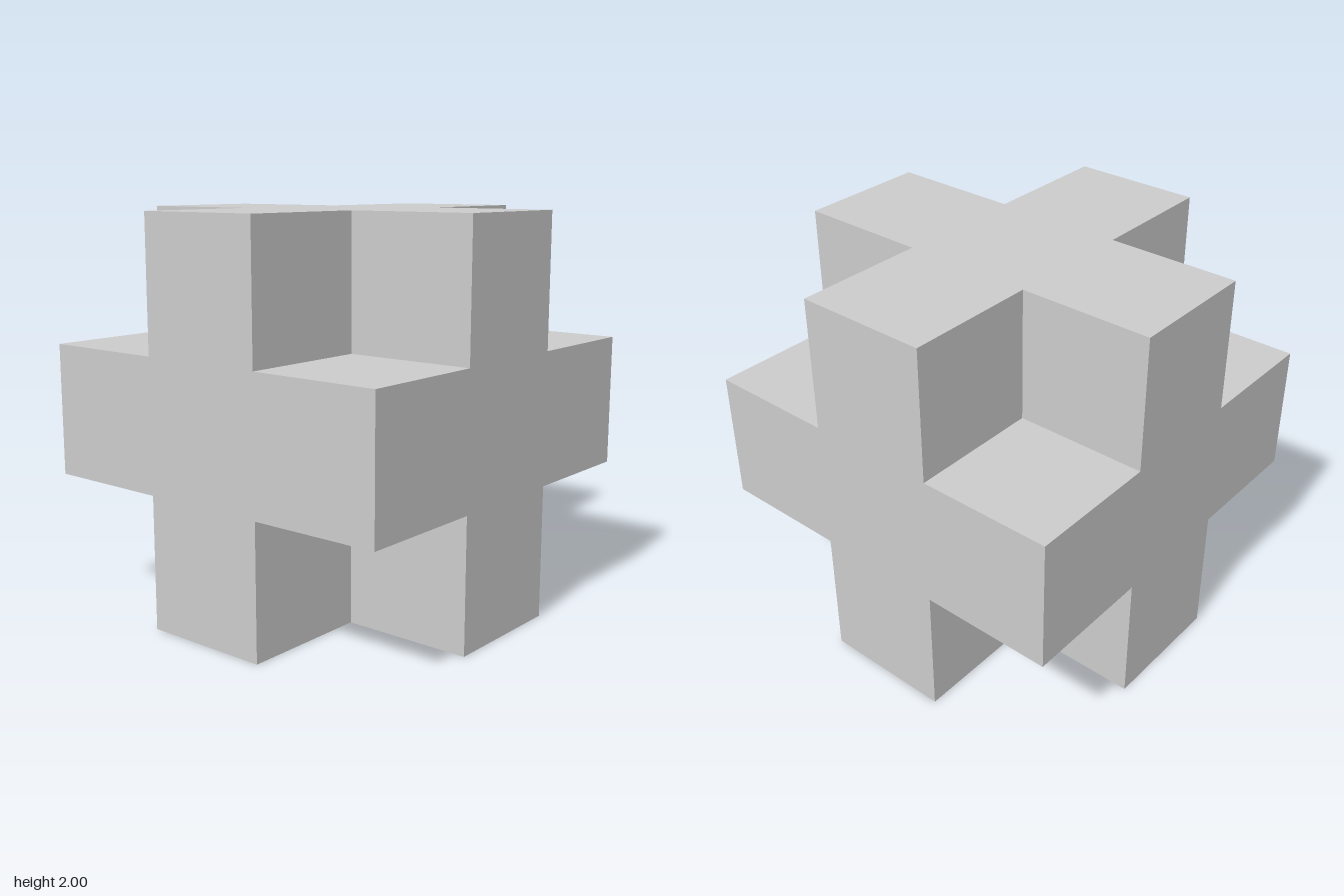
import * as THREE from 'three';
import { mergeGeometries } from 'three/addons/utils/BufferGeometryUtils.js';

const H = 1;       // half the cube's edge
const A = 1 / 3;   // half the width of each cross arm
const N = H - A;   // edge of each corner notch

// One side facing +z: an outer cross and the floors of its four corner notches
function sideGeometry() {
  const cross = new THREE.Shape([
    [A, -H], [A, -A], [H, -A], [H, A], [A, A], [A, H],
    [-A, H], [-A, A], [-H, A], [-H, -A], [-A, -A], [-A, -H],
  ].map(([x, y]) => new THREE.Vector2(x, y)));
  const parts = [new THREE.ShapeGeometry(cross).translate(0, 0, H)];
  const mid = (A + H) / 2;
  for (const sx of [-1, 1]) {
    for (const sy of [-1, 1]) {
      parts.push(new THREE.PlaneGeometry(N, N).translate(sx * mid, sy * mid, A));
    }
  }
  return mergeGeometries(parts);
}

export function createModel() {
  const group = new THREE.Group();
  group.name = 'notchedCube';

  // Six identical sides close into one solid with all eight corners cut out
  const side = sideGeometry();
  const sides = [];
  for (let i = 0; i < 4; i++) sides.push(side.clone().rotateY(i * Math.PI / 2));
  for (const s of [-1, 1]) sides.push(side.clone().rotateX(s * Math.PI / 2));

  const body = new THREE.Mesh(
    mergeGeometries(sides).translate(0, H, 0),
    new THREE.MeshStandardMaterial({ color: 0xcccccc, flatShading: true }),
  );
  body.name = 'notchedCubeBody';
  group.add(body);
  return group;
}
